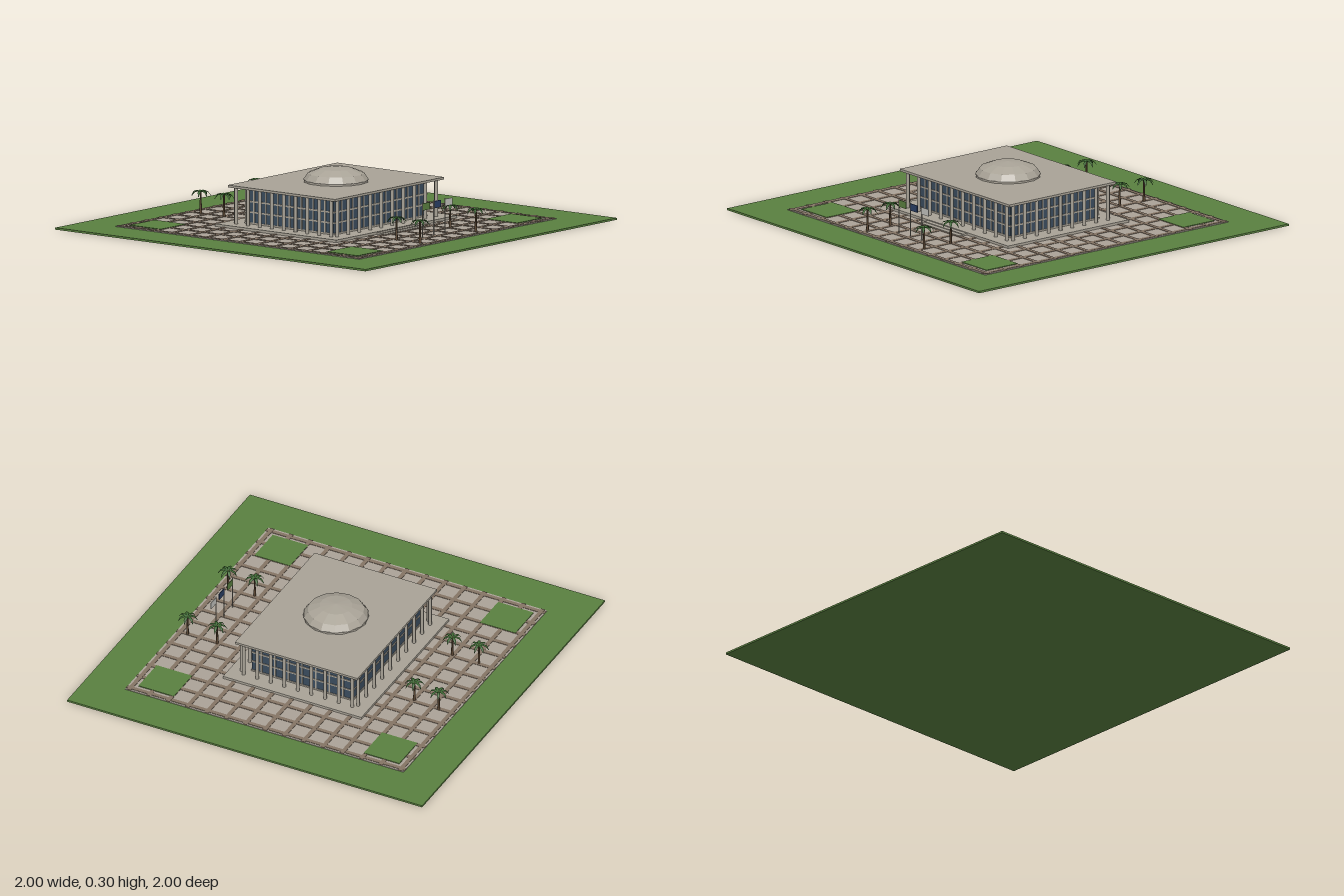
import * as THREE from 'three';

const mat = (name, color, extra = {}) => {
  const m = new THREE.MeshStandardMaterial({ color, ...extra });
  m.name = name;
  return m;
};

export function createModel() {
  const grass = mat('grass', 0x5a8040);
  const paving = mat('paving', 0xaba398);
  const brick = mat('brick strips', 0x857464);
  const concrete = mat('concrete', 0xa9a397);
  const domeMat = mat('dome concrete', 0xa9a397, { flatShading: true });
  const glass = mat('dark glass', 0x3a4c5e);
  const trunkMat = mat('palm trunk', 0x5a4632);
  const leaf = mat('palm leaf', 0x3a6630, { side: THREE.DoubleSide });
  const navy = mat('navy cloth', 0x2a3f66);
  const white = mat('pale cloth', 0xc4c4c0);

  const model = new THREE.Group();
  model.name = 'domedPavilion';

  const add = (parent, name, geo, material, x = 0, y = 0, z = 0) => {
    const mesh = new THREE.Mesh(geo, material);
    mesh.name = name;
    mesh.position.set(x, y, z);
    parent.add(mesh);
    return mesh;
  };
  // Box given by its bottom and top heights
  const slab = (parent, name, w, d, y0, y1, material, x = 0, z = 0) =>
    add(parent, name, new THREE.BoxGeometry(w, y1 - y0, d), material, x, (y0 + y1) / 2, z);
  const group = (name) => {
    const g = new THREE.Group();
    g.name = name;
    model.add(g);
    return g;
  };

  // Lawn, paved square, brick grid and corner lawns
  const site = group('site');
  slab(site, 'lawn', 2, 2, 0, 0.01, grass);
  slab(site, 'plaza', 1.57, 1.57, 0.01, 0.013, paving);
  for (let i = -7; i <= 7; i++) {
    const p = i * 0.109;
    slab(site, 'brickStripAlongZ', 0.022, 1.57, 0.012, 0.0150, brick, p, 0);
    slab(site, 'brickStripAlongX', 1.57, 0.022, 0.012, 0.0153, brick, 0, p);
  }
  for (const sx of [-1, 1])
    for (const sz of [-1, 1])
      slab(site, 'cornerLawn', 0.2, 0.2, 0.012, 0.017, grass, sx * 0.635, sz * 0.635);

  // Plinth and entrance steps
  const building = group('building');
  slab(building, 'plinth', 0.96, 0.78, 0.01, 0.026, concrete);
  slab(building, 'lowerStep', 0.31, 0.07, 0.01, 0.018, concrete, 0, 0.405);
  slab(building, 'upperStep', 0.31, 0.04, 0.01, 0.022, concrete, 0, 0.395);

  // Glass hall with horizontal bands and vertical mullions
  slab(building, 'glassHall', 0.736, 0.566, 0.026, 0.212, glass);
  for (const y of [0.03, 0.086, 0.14, 0.205])
    slab(building, 'facadeBand', 0.744, 0.574, y - 0.004, y + 0.004, concrete);

  const pillar = new THREE.CylinderGeometry(0.009, 0.009, 0.186, 10);
  const frontXs = Array.from({ length: 10 }, (_, i) => (i - 4.5) * 0.0875);
  const sideZs = Array.from({ length: 9 }, (_, i) => (i - 4) * 0.0765);
  for (const s of [-1, 1]) {
    for (const x of frontXs) {
      add(building, 'column', pillar, concrete, x, 0.119, s * 0.327);
      if (Math.abs(x) < 0.36) slab(building, 'mullion', 0.008, 0.008, 0.026, 0.21, concrete, x, s * 0.283);
    }
    for (const z of sideZs) {
      add(building, 'column', pillar, concrete, s * 0.417, 0.119, z);
      if (Math.abs(z) < 0.28) slab(building, 'mullion', 0.008, 0.008, 0.026, 0.21, concrete, s * 0.368, z);
    }
  }

  // Flat roof, drum and faceted dome
  slab(building, 'roof', 0.87, 0.69, 0.21, 0.222, concrete);
  add(building, 'domeDrum', new THREE.CylinderGeometry(0.165, 0.165, 0.01, 14), domeMat, 0, 0.227, 0);
  const dome = new THREE.SphereGeometry(1, 14, 3, 0, Math.PI * 2, 0, Math.PI / 2);
  dome.scale(0.165, 0.065, 0.165);
  add(building, 'dome', dome, domeMat, 0, 0.231, 0);

  // Flagpoles with one cloth each
  const flags = group('flags');
  [grass, navy, white].forEach((cloth, i) => {
    const x = (i - 1) * 0.09;
    add(flags, 'flagpole', new THREE.CylinderGeometry(0.003, 0.003, 0.177, 6), concrete, x, 0.1015, 0.63);
    slab(flags, 'flag', 0.054, 0.004, 0.15, 0.186, cloth, x + 0.029, 0.63);
  });

  // Drooping frond: a tapering ribbon creased along its middle
  const sections = [[0, 0, 0.003], [0.018, 0.009, 0.008], [0.037, 0.004, 0.007], [0.051, -0.016, 0.001]];
  const pos = [], index = [];
  sections.forEach(([r, y, w], i) => {
    pos.push(r, y - 0.003, -w, r, y, 0, r, y - 0.003, w);
    if (i === 0) return;
    const a = (i - 1) * 3, b = i * 3;
    for (const k of [0, 1]) index.push(a + k, a + k + 1, b + k, b + k, a + k + 1, b + k + 1);
  });
  const frond = new THREE.BufferGeometry();
  frond.setAttribute('position', new THREE.Float32BufferAttribute(pos, 3));
  frond.setIndex(index);
  frond.computeVertexNormals();

  const trunk = new THREE.CylinderGeometry(0.004, 0.007, 0.112, 6);
  const spots = [
    [-0.225, -0.69], [0.225, -0.695], [-0.225, -0.54], [0.21, -0.55],
    [-0.228, 0.575], [0.226, 0.553], [-0.225, 0.724], [0.222, 0.722],
  ];
  spots.forEach(([x, z], n) => {
    const palm = group('palm');
    palm.position.set(x, 0.012, z);
    palm.rotation.y = n * 1.3;
    add(palm, 'trunk', trunk, trunkMat, 0, 0.056, 0);
    for (let i = 0; i < 7; i++)
      add(palm, 'frond', frond, leaf, 0, 0.111, 0).rotation.y = (i / 7) * Math.PI * 2;
  });

  return model;
}
